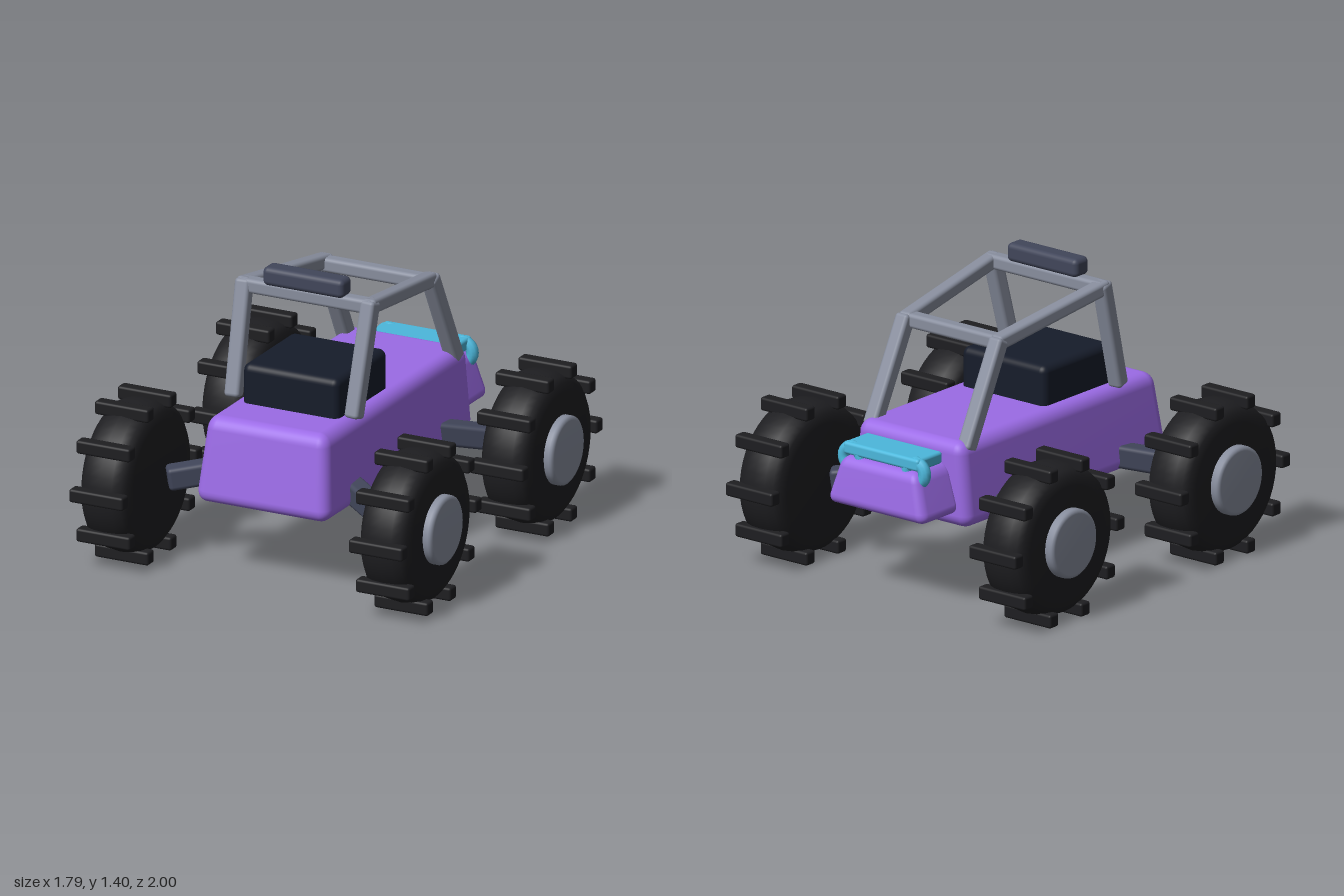
import * as THREE from 'three';
import { RoundedBoxGeometry } from 'three/addons/geometries/RoundedBoxGeometry.js';
import { mergeVertices } from 'three/addons/utils/BufferGeometryUtils.js';

const V = (x, y, z) => new THREE.Vector3(x, y, z);
const mat = (color) => new THREE.MeshStandardMaterial({ color });

export function createModel() {
  const purple = mat(0x9b6be6), rubber = mat(0x1e1e21), steel = mat(0x888e9e);
  const slate = mat(0x41465a), navy = mat(0x161c2a), cyan = mat(0x4cb8dc);
  const model = new THREE.Group();

  function add(parent, name, geometry, material, x = 0, y = 0, z = 0) {
    const mesh = new THREE.Mesh(geometry, material);
    mesh.name = name;
    mesh.position.set(x, y, z);
    parent.add(mesh);
    return mesh;
  }

  // Rounded box narrowed towards its top; the chosen end also leans inwards
  function taperedBox(w, h, d, r, topScale, lean, end) {
    let g = new RoundedBoxGeometry(w, h, d, 4, r);
    g.deleteAttribute('uv');
    g.deleteAttribute('normal');
    g = mergeVertices(g, 1e-5);
    const p = g.attributes.position;
    for (let i = 0; i < p.count; i++) {
      const t = p.getY(i) / h + 0.5;
      const e = 0.5 + end * p.getZ(i) / d;
      p.setX(i, p.getX(i) * (1 + (topScale - 1) * t));
      p.setZ(i, p.getZ(i) - end * lean * t * e);
    }
    g.computeVertexNormals();
    return g;
  }

  // Square bar with softened edges between two points
  function bar(parent, name, a, b, w, h, r, material) {
    const mesh = add(parent, name, new RoundedBoxGeometry(w, h, a.distanceTo(b), 3, r), material);
    mesh.position.copy(a).add(b).multiplyScalar(0.5);
    mesh.lookAt(b);
    return mesh;
  }

  // Hull, tail and seat block
  add(model, 'body', taperedBox(0.70, 0.41, 1.48, 0.06, 0.89, 0.06, 1), purple, 0, 0.565, 0.02);
  add(model, 'tail', taperedBox(0.60, 0.235, 0.29, 0.05, 0.75, 0.03, -1), purple, 0, 0.548, -0.83);
  add(model, 'seat', new RoundedBoxGeometry(0.50, 0.28, 0.50, 4, 0.035), navy, 0, 0.82, 0.21);

  // Roll cage
  const cage = new THREE.Group();
  cage.name = 'rollCage';
  model.add(cage);
  for (const s of [-1, 1]) {
    const foot = V(s * 0.313, 0.775, 0.42), frontTop = V(s * 0.328, 1.31, 0.28);
    const rearTop = V(s * 0.278, 1.20, -0.40), rearFoot = V(s * 0.28, 0.72, -0.645);
    bar(cage, 'frontPost', foot, frontTop, 0.075, 0.075, 0.018, steel);
    bar(cage, 'roofRail', V(s * 0.328, 1.288, 0.31), V(s * 0.273, 1.18, -0.42), 0.07, 0.07, 0.018, steel);
    bar(cage, 'rearPost', rearTop, rearFoot, 0.075, 0.075, 0.018, steel);
  }
  bar(cage, 'frontCrossbar', V(-0.35, 1.283, 0.28), V(0.35, 1.283, 0.28), 0.07, 0.07, 0.018, steel);
  bar(cage, 'rearCrossbar', V(-0.30, 1.178, -0.385), V(0.30, 1.178, -0.385), 0.07, 0.07, 0.018, steel);
  add(cage, 'lightBar', new RoundedBoxGeometry(0.42, 0.09, 0.10, 3, 0.025), slate, 0, 1.355, 0.287);

  // Engine cover with a ring pipe on each side
  add(model, 'engineCover', new RoundedBoxGeometry(0.45, 0.06, 0.18, 3, 0.015), cyan, 0, 0.70, -0.835);
  for (const s of [-1, 1]) {
    add(model, 'exhaustRing', new THREE.TorusGeometry(0.05, 0.03, 10, 24), cyan, s * 0.19, 0.655, -0.895);
  }

  // Tyre profile as (radius, offset along the axle)
  const profile = [[0, -0.125], [0.27, -0.125], [0.315, -0.118], [0.342, -0.098], [0.357, -0.06], [0.364, 0]];
  const half = profile.map(([r, o]) => new THREE.Vector2(r, o));
  const tyrePoints = [...half, ...profile.slice(0, -1).reverse().map(([r, o]) => new THREE.Vector2(r, -o))];
  const tyreGeometry = new THREE.LatheGeometry(tyrePoints, 48).rotateZ(Math.PI / 2);
  const lugGeometry = new RoundedBoxGeometry(0.28, 0.065, 0.065, 2, 0.012);
  const hubPoints = [[0, -0.10], [0.165, -0.10], [0.165, 0.08], [0.163, 0.09], [0.155, 0.096], [0.145, 0.1], [0, 0.1]]
    .map(([r, o]) => new THREE.Vector2(r, o));
  const hubGeometry = new THREE.LatheGeometry(hubPoints, 40).rotateZ(-Math.PI / 2);

  // Wheels and suspension arms at the four corners
  for (const sx of [-1, 1]) {
    for (const sz of [-1, 1]) {
      const wheel = new THREE.Group();
      wheel.name = (sz > 0 ? 'front' : 'rear') + (sx > 0 ? 'Left' : 'Right') + 'Wheel';
      wheel.position.set(sx * 0.727, 0.382, sz * 0.6);
      model.add(wheel);
      add(wheel, 'tyre', tyreGeometry, rubber);
      const hub = add(wheel, 'hub', hubGeometry, steel, sx * 0.07);
      if (sx < 0) hub.rotation.y = Math.PI;
      for (let i = 0; i < 10; i++) {
        const a = i * Math.PI / 5;
        add(wheel, 'lug', lugGeometry, rubber, 0, 0.3675 * Math.sin(a), 0.3675 * Math.cos(a));
      }
      bar(model, 'suspensionArm', V(sx * 0.24, 0.445, sz * 0.385), V(sx * 0.565, 0.39, sz * 0.595),
        0.10, 0.11, 0.02, slate);
    }
  }
  return model;
}
